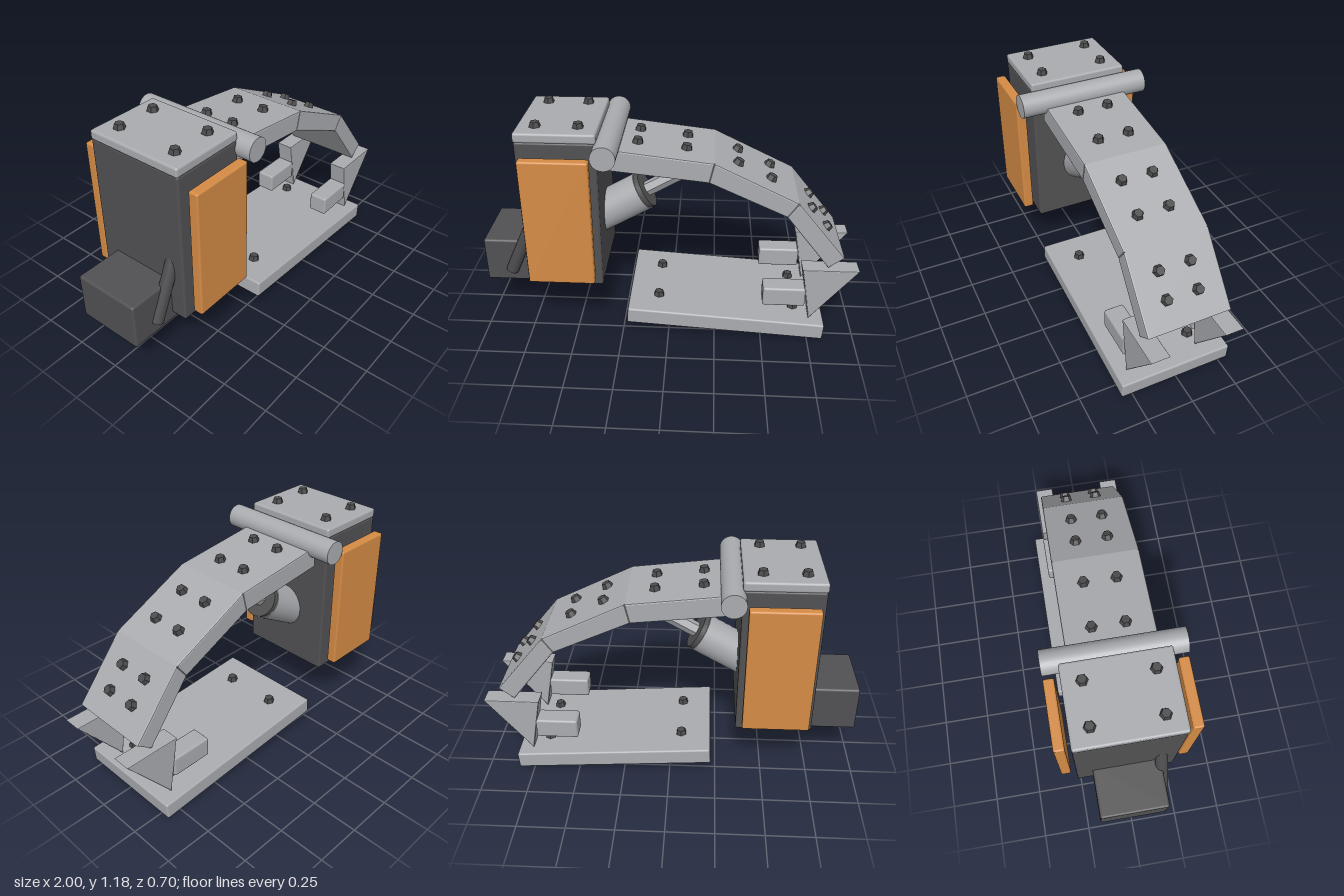
import * as THREE from 'three';
import { RoundedBoxGeometry } from 'three/addons/geometries/RoundedBoxGeometry.js';

const mat = (name, color) => Object.assign(new THREE.MeshStandardMaterial({ color }), { name });

export function createModel() {
  const root = new THREE.Group();
  root.name = 'mechanicalFoot';
  const steel = mat('steelGrey', 0xa9abaf);
  const dark = mat('darkGrey', 0x515153);
  const bolt = mat('boltGrey', 0x4b4b4d);
  const orange = mat('orange', 0xd48b45);

  const add = (name, geo, material, x = 0, y = 0, z = 0, rz = 0) => {
    const m = new THREE.Mesh(geo, material);
    m.name = name;
    m.position.set(x, y, z);
    m.rotation.z = rz;
    root.add(m);
    return m;
  };
  // softened box given by its extents
  const box = (name, material, [x0, x1], [y0, y1], [z0, z1], r = 0.012) =>
    add(name, new RoundedBoxGeometry(x1 - x0, y1 - y0, z1 - z0, 2, r), material,
      (x0 + x1) / 2, (y0 + y1) / 2, (z0 + z1) / 2);
  // side outline extruded across z, with bevelled edges
  const prism = (name, material, pts, width, z = 0, b = 0.008) => {
    const shape = new THREE.Shape(pts.map(p => new THREE.Vector2(...p)));
    const geo = new THREE.ExtrudeGeometry(shape, {
      depth: width - 2 * b, bevelEnabled: true, bevelThickness: b,
      bevelSize: b, bevelOffset: -b, bevelSegments: 2,
    });
    geo.translate(0, 0, -width / 2 + b);
    return add(name, geo, material, 0, 0, z);
  };
  // cylinder between two points of the side plane
  const rod = (name, material, [x0, y0], [x1, y1], r, sides = 32, z = 0) => {
    const geo = new THREE.CylinderGeometry(r, r, Math.hypot(x1 - x0, y1 - y0), sides);
    return add(name, sides < 10 ? geo.toNonIndexed() : geo, material,
      (x0 + x1) / 2, (y0 + y1) / 2, z, Math.atan2(y1 - y0, x1 - x0) - Math.PI / 2);
  };
  // tapered hex bolts in mirrored pairs
  const boltGeo = new THREE.CylinderGeometry(0.023, 0.033, 0.036, 6).toNonIndexed();
  boltGeo.computeVertexNormals();
  const boltPair = (x, y, z, rz = 0) => {
    for (const s of [1, -1]) {
      add('bolt', boltGeo, bolt, x - Math.sin(rz) * 0.009, y + Math.cos(rz) * 0.009, s * z, rz);
    }
  };

  // upright housing, cap and side panels
  box('housing', dark, [-0.752, -0.35], [0.292, 1.11], [-0.266, 0.266]);
  box('housingCap', steel, [-0.755, -0.35], [1.105, 1.156], [-0.266, 0.266]);
  for (const x of [-0.66, -0.447]) boltPair(x, 1.155, 0.17);
  for (const s of [1, -1]) {
    box('sidePanel', orange, [-0.725, -0.38], [0.352, 1.045], s > 0 ? [0.295, 0.349] : [-0.349, -0.295], 0.01);
  }

  // rear block with its slanted brace
  box('rearBlock', dark, [-1, -0.72], [0.25, 0.5], [-0.181, 0.181]);
  rod('rearBrace', bolt, [-0.86, 0.315], [-0.67, 0.735], 0.034, 16, 0.18);

  // hinge across the top of the arm
  add('hinge', new THREE.CylinderGeometry(0.0625, 0.0625, 0.698, 32), steel, -0.308, 1.068, 0).rotation.x = Math.PI / 2;

  // three curved arm plates
  const top = [[-0.302, 1.062], [0.224, 1.0], [0.655, 0.79], [0.915, 0.475]];
  const under = [[-0.315, 0.948], [0.2, 0.893], [0.6, 0.71], [0.836, 0.413]];
  const spots = [[0.26, 0.73], [0.28, 0.68], [0.31, 0.65]];
  for (let i = 0; i < 3; i++) {
    const [ax, ay] = top[i], [bx, by] = top[i + 1];
    prism('armPlate', steel, [under[i], under[i + 1], top[i + 1], top[i]], 0.446);
    for (const t of spots[i]) {
      boltPair(ax + (bx - ax) * t, ay + (by - ay) * t, 0.083, Math.atan2(by - ay, bx - ax));
    }
  }

  // piston along a 30 degree axis
  const along = t => [-0.14 + t * 0.866, 0.735 + t * 0.5];
  rod('pistonBarrel', steel, along(-0.38), along(-0.015), 0.105);
  rod('pistonCollar', dark, along(-0.02), along(0.012), 0.1);
  const shaft = rod('pistonShaft', steel, along(0), along(0.36), 0.04, 6);
  shaft.geometry.computeVertexNormals();
  rod('pistonEnd', dark, along(0.33), along(0.375), 0.068, 20);

  // foot plate, tilted down towards the toe
  const tilt = -0.067;
  add('footPlate', new RoundedBoxGeometry(1.06, 0.09, 0.61, 2, 0.01), steel, 0.307, 0.085, 0, tilt);
  for (const x of [-0.06, 0.678]) boltPair(x, 0.13 + (x - 0.307) * tilt, 0.147, tilt);

  // toe claws and their blocks
  for (const s of [1, -1]) {
    prism('claw', steel, [[0.702, 0.41], [0.757, 0.1], [0.997, 0.41]], 0.1, s * 0.197, 0.005);
    box('clawBlock', steel, [0.503, 0.73], [0.18, 0.29], s > 0 ? [0.143, 0.251] : [-0.251, -0.143]);
  }
  return root;
}
